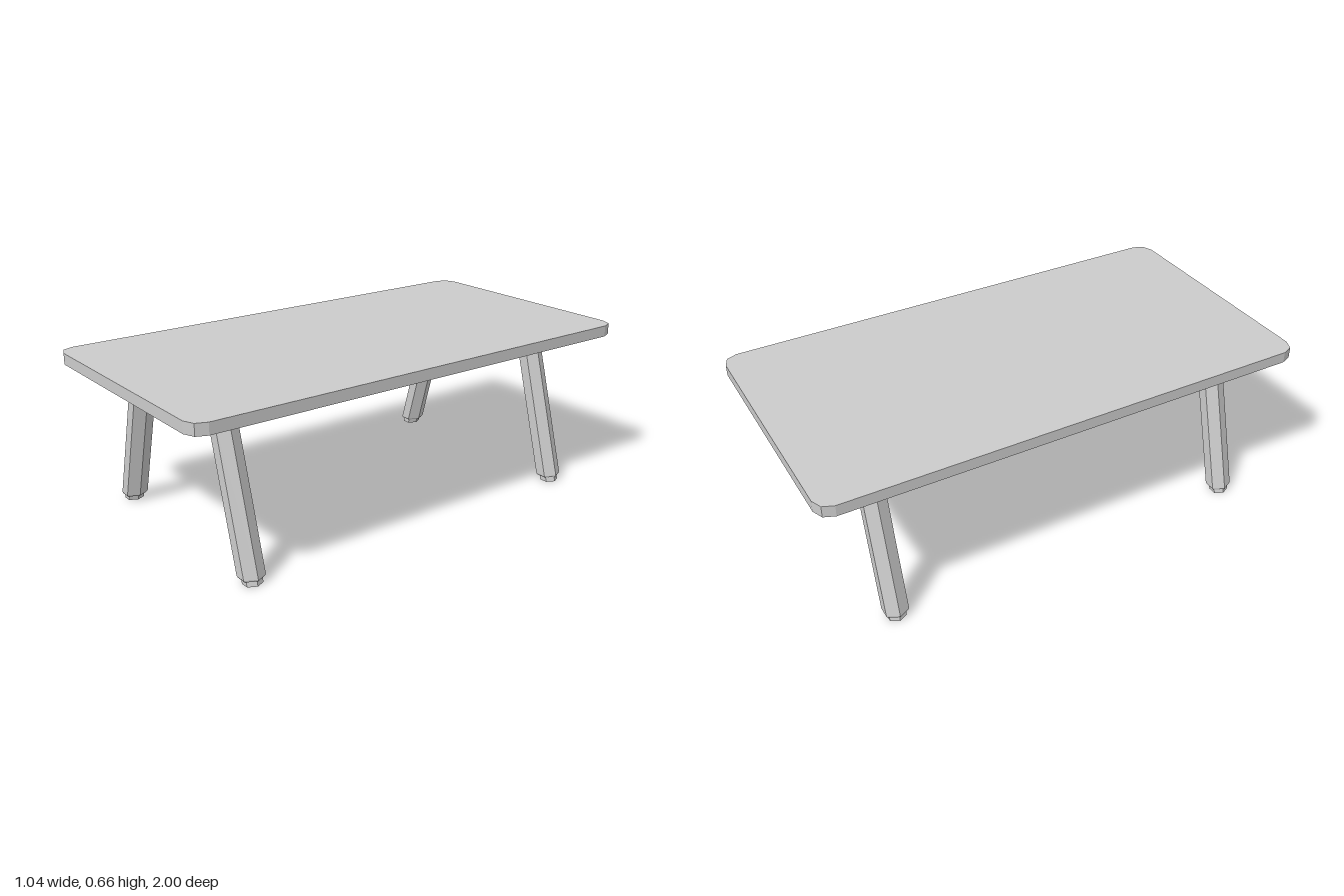
import * as THREE from 'three';

const material = new THREE.MeshStandardMaterial({ color: 0xcccccc, flatShading: true });

function addPart(parent, name, geometry) {
  const mesh = new THREE.Mesh(geometry, material);
  mesh.name = name;
  parent.add(mesh);
  return mesh;
}

// Rectangle with rounded corners, two facets per corner
function roundedRect(hw, hd, r) {
  const shape = new THREE.Shape();
  shape.absarc(hw - r, hd - r, r, 0, Math.PI / 2);
  shape.absarc(-hw + r, hd - r, r, Math.PI / 2, Math.PI);
  shape.absarc(-hw + r, -hd + r, r, Math.PI, Math.PI * 1.5);
  shape.absarc(hw - r, -hd + r, r, Math.PI * 1.5, Math.PI * 2);
  shape.closePath();
  return shape;
}

// Six-sided leg with chamfered end and small foot, sheared so it splays outward
function legGeometry(side) {
  const profile = [
    [0, 0], [0.034, 0], [0.034, 0.021], [0.042, 0.021],
    [0.046, 0.028], [0.046, 0.588], [0, 0.588],
  ].map(([r, y]) => new THREE.Vector2(r, y));
  const geometry = new THREE.LatheGeometry(profile, 6, Math.PI / 2);
  geometry.scale(1, 1, 1.14);
  const pos = geometry.attributes.position;
  for (let i = 0; i < pos.count; i++) {
    pos.setX(i, pos.getX(i) + side * (0.588 - pos.getY(i)) * 0.284);
  }
  geometry.computeVertexNormals();
  return geometry;
}

export function createModel() {
  const table = new THREE.Group();
  table.name = 'table';

  // Table top
  const top = new THREE.ExtrudeGeometry(roundedRect(0.521, 1, 0.06), {
    depth: 0.045, bevelEnabled: false, curveSegments: 1,
  });
  top.rotateX(-Math.PI / 2);
  addPart(table, 'tableTop', top).position.y = 0.615;

  // Mounting plate under the top
  addPart(table, 'underPlate', new THREE.BoxGeometry(0.765, 0.028, 1.685)).position.y = 0.601;

  // Four splayed legs
  for (const side of [-1, 1]) {
    for (const end of [-1, 1]) {
      const name = (end > 0 ? 'front' : 'back') + (side > 0 ? 'Left' : 'Right') + 'Leg';
      const leg = addPart(table, name, legGeometry(side));
      leg.position.set(side * 0.286 - 0.005, 0, end * 0.749 + 0.007);
    }
  }
  return table;
}
